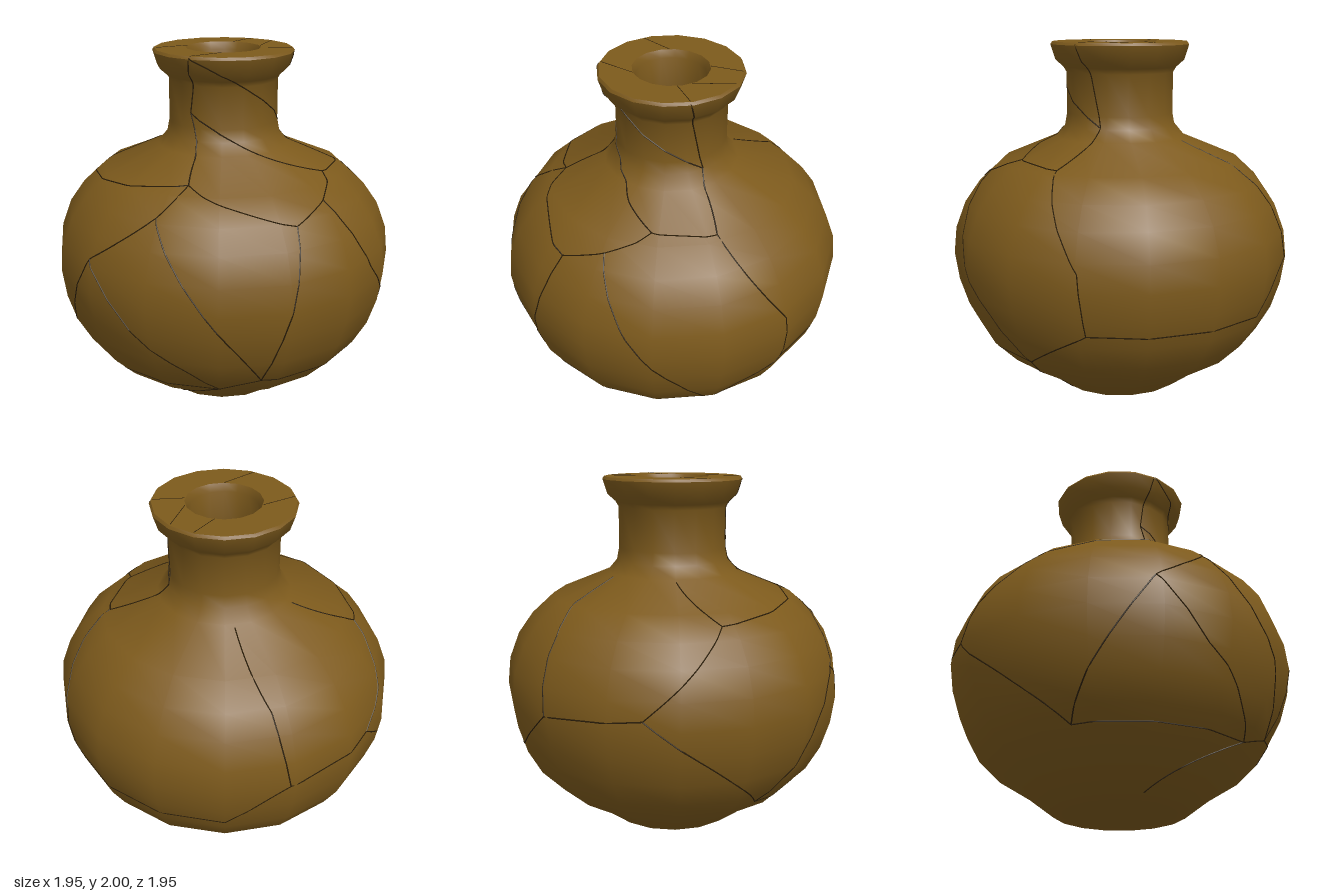
import * as THREE from 'three';
import { toCreasedNormals } from 'three/addons/utils/BufferGeometryUtils.js';

const SIDES = 16;

// Outer profile [radius, height] from foot to lip
const OUTER = [
  [0.37, 0], [0.51, 0.105], [0.69, 0.215], [0.82, 0.345], [0.9, 0.485], [0.95, 0.64],
  [0.973, 0.8], [0.957, 0.95], [0.9, 1.1], [0.815, 1.22], [0.69, 1.335], [0.375, 1.465],
  [0.32, 1.53], [0.307, 1.6], [0.307, 1.83], [0.325, 1.86], [0.37, 1.9], [0.397, 1.985], [0.387, 2],
];

// Inner profile from mouth down to the inside floor
const INNER = [
  [0.21, 2], [0.19, 1.96], [0.2, 1.6], [0.3, 1.42], [0.62, 1.26],
  [0.87, 0.8], [0.8, 0.45], [0.3, 0.1], [0, 0.1],
];

// Corners where shards meet: [degrees from the front towards the left side, height]
const corners = {
  frontTop: [-16, 1.37], frontUpper: [-24, 1.24], frontLow: [16, 0.35], frontFoot: [0, 0.28],
  frontRight: [-47, 0.98], frontBow: [-30, 0.65], frontLeft: [29, 1.2],
  shoulder: [46, 1.28], shoulderTop: [64, 1.365], leftTop: [95, 1.35], leftBow: [59, 0.9],
  leftLow: [88, 0.31], leftBack: [115, 0.56], leftBackBow: [113, 0.9],
  back: [180, 0.54], backRight: [201, 0.8], backUpper: [197, 1.2], backNeck: [188, 1.455],
  right: [236, 0.85], rightUpper: [265, 1.28], rightNeck: [248, 1.455], rightLow: [-77, 0.27],
  footRight: [-40, 0.02], footLeft: [79, 0.01],
  neckFront: [-34, 1.68], neckLeft: [106, 1.54], lipFront: [-26, 1.99], lipLeft: [88, 1.99],
};

// Cracks running from corner to corner
const c = corners;
const cracks = [
  [c.frontTop, c.frontUpper, c.frontLow],
  [c.frontUpper, c.frontRight, c.frontBow, c.frontFoot, c.frontLow],
  [c.frontTop, c.frontLeft, c.frontLow, c.leftLow],
  [c.frontFoot, c.rightLow, c.frontRight],
  [c.footRight, c.frontFoot],
  [c.frontLeft, c.shoulder, c.shoulderTop, c.leftTop, c.neckLeft, c.lipLeft],
  [c.shoulder, c.leftBow, c.leftLow, c.footLeft],
  [c.leftLow, c.leftBack, c.leftBackBow, c.leftTop],
  [c.leftBack, c.back, c.backRight, c.backUpper, c.backNeck],
  [c.backRight, c.right, c.rightLow],
  [c.right, c.rightUpper, c.rightNeck],
  [c.rightUpper, c.frontTop],
  [c.frontTop, c.neckFront, c.lipFront],
  [c.neckFront, c.shoulderTop],
  [c.lipFront, c.neckLeft],
];

// Cracks across the flat lip: [outer degrees, inner degrees]
const LIP_CRACKS = [[-26, 0], [88, 82], [134, 104], [156, 166], [-83, -104]];

// Point at an angle and radius from the pot's axis
function around(deg, r, y) {
  const a = THREE.MathUtils.degToRad(deg);
  return new THREE.Vector3(r * Math.sin(a), y, r * Math.cos(a));
}

// Point on the faceted outer wall
function wallPoint(deg, y) {
  let i = 1;
  while (i < OUTER.length - 1 && OUTER[i][1] < y) i++;
  const [r0, y0] = OUTER[i - 1];
  const [r1, y1] = OUTER[i];
  const r = r0 + ((r1 - r0) * (y - y0)) / (y1 - y0);
  const half = 180 / SIDES;
  const local = THREE.MathUtils.euclideanModulo(deg, 2 * half) - half;
  const flat = (r * Math.cos(THREE.MathUtils.degToRad(half))) / Math.cos(THREE.MathUtils.degToRad(local));
  return around(deg, flat, y);
}

// Points from one corner to the next, the short way round
function wallLine([a0, y0], [a1, y1]) {
  const turn = THREE.MathUtils.euclideanModulo(a1 - a0 + 180, 360) - 180;
  const steps = Math.max(4, Math.ceil(Math.abs(turn) / 3), Math.ceil(Math.abs(y1 - y0) / 0.03));
  return Array.from({ length: steps + 1 }, (_, s) =>
    wallPoint(a0 + (turn * s) / steps, y0 + ((y1 - y0) * s) / steps));
}

export function createModel() {
  const model = new THREE.Group();
  model.name = 'crackedPot';
  const clay = new THREE.MeshStandardMaterial({ color: 0x7d5a1c });
  const dark = new THREE.MeshStandardMaterial({ color: 0x2a1d08 });

  // Hollow vessel: foot disc, outer wall, lip and inside in one turned profile
  const profile = [[0, 0], ...OUTER, ...INNER].map(([r, y]) => new THREE.Vector2(r, y));
  const pot = new THREE.Mesh(toCreasedNormals(new THREE.LatheGeometry(profile, SIDES), 0.7), clay);
  pot.name = 'potBody';
  model.add(pot);

  // Hairline cracks between the shards
  const seams = new THREE.Group();
  seams.name = 'cracks';
  const addSeam = (points, name) => {
    const curve = new THREE.CatmullRomCurve3(points);
    const seam = new THREE.Mesh(new THREE.TubeGeometry(curve, points.length * 2, 0.004, 4), dark);
    seam.name = name;
    seams.add(seam);
  };
  for (const path of cracks) {
    for (let i = 1; i < path.length; i++) addSeam(wallLine(path[i - 1], path[i]), 'wallCrack');
  }
  for (const [outer, inner] of LIP_CRACKS) {
    addSeam([around(outer, 0.38, 1.998), around(inner, 0.21, 1.998)], 'lipCrack');
  }
  model.add(seams);
  return model;
}
